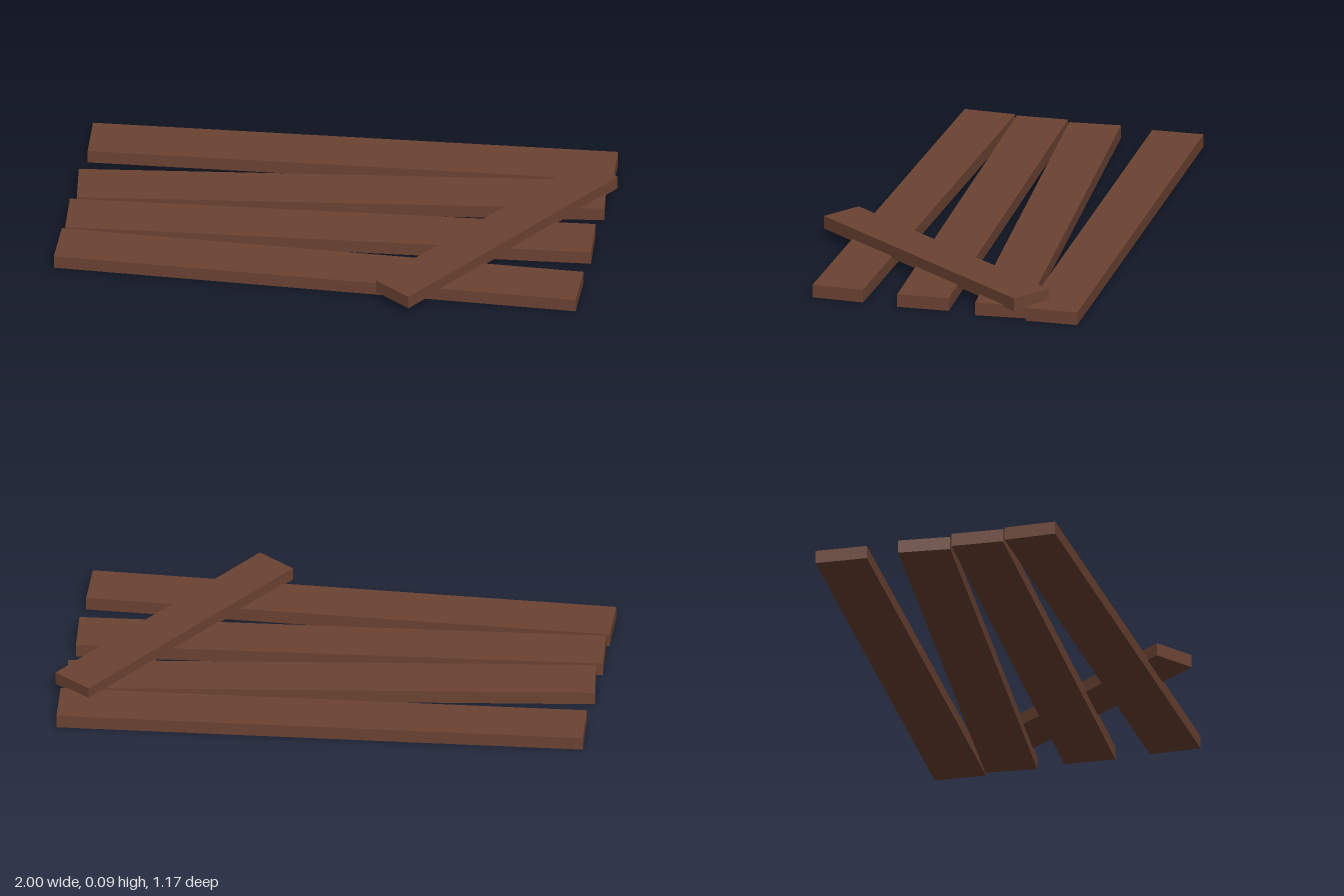
import * as THREE from 'three';

export function createModel() {
  const group = new THREE.Group();
  const wood = new THREE.MeshStandardMaterial({ color: 0x6b4232, flatShading: true });

  // A plank: length, width, centre and turn about the vertical
  function addPlank(name, length, width, x, y, z, turn) {
    const plank = new THREE.Mesh(new THREE.BoxGeometry(length, 0.05, width), wood);
    plank.name = name;
    plank.position.set(x, y, z);
    plank.rotation.y = turn;
    group.add(plank);
  }

  // Four long boards lying loosely side by side: [z, turn]
  const boards = [[-0.43, 0.061], [-0.17, 0.123], [0.085, 0.074], [0.353, 0.01]];
  boards.forEach(([z, turn], i) => addPlank(`board${i + 1}`, 1.965, 0.196, -0.0125, 0.025, z, turn));

  // Shorter, narrower board laid diagonally on top
  addPlank('crossBoard', 1.134, 0.166, 0.6125, 0.067, 0.07, 0.977);

  return group;
}
